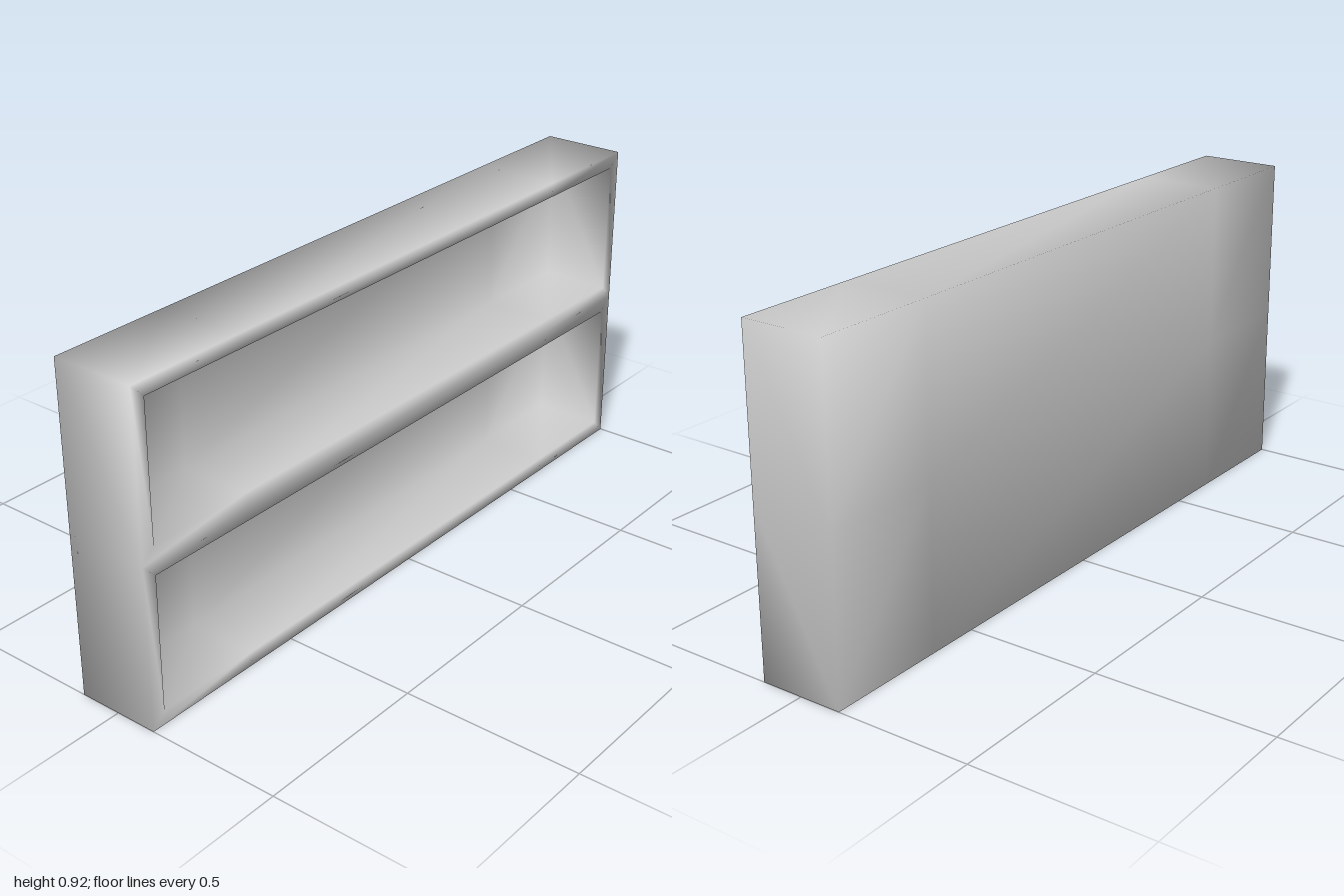
import * as THREE from 'three';
import { mergeVertices } from 'three/addons/utils/BufferGeometryUtils.js';

const HALF_W = 1, HALF_D = 0.12, BAY_H = 0.46, WALL = 0.04, LOOP_X = 0.65;

// Rectangular ring of eight points, counter-clockwise seen from the front
function ring(x, bottom, top, z) {
  const xs = [-x, -LOOP_X, LOOP_X, x];
  return [
    ...xs.map((px) => [px, bottom, z]),
    ...xs.reverse().map((px) => [px, top, z]),
  ];
}

export function createModel() {
  const positions = [];
  const quad = (a, b, c, d) => positions.push(...a, ...b, ...c, ...a, ...c, ...d);

  for (let bay = 0; bay < 2; bay++) {
    const y0 = bay * BAY_H, y1 = y0 + BAY_H;
    // Sections: back edge, front edge, opening rim, recess back
    const sections = [
      ring(HALF_W, y0, y1, -HALF_D),
      ring(HALF_W, y0, y1, HALF_D),
      ring(HALF_W - WALL, y0 + WALL, y1 - WALL, HALF_D),
      ring(HALF_W - WALL, y0 + WALL, y1 - WALL, -HALF_D + WALL),
    ];
    for (let s = 0; s < 3; s++) {
      const from = sections[s], to = sections[s + 1];
      for (let i = 0; i < 8; i++) {
        const j = (i + 1) % 8;
        // No outer skin where the two bays join
        const joined = from[i][1] === BAY_H && from[j][1] === BAY_H;
        if (s === 0 && joined) continue;
        quad(from[i], from[j], to[j], to[i]);
      }
    }
    // Recess back panel and outer back panel
    const inner = sections[3], outer = sections[0];
    for (let i = 0; i < 3; i++) {
      quad(inner[i], inner[i + 1], inner[6 - i], inner[7 - i]);
      quad(outer[i + 1], outer[i], outer[7 - i], outer[6 - i]);
    }
  }

  // Welded corners give the soft shading across the whole case
  let geometry = new THREE.BufferGeometry();
  geometry.setAttribute('position', new THREE.Float32BufferAttribute(positions, 3));
  geometry = mergeVertices(geometry);
  geometry.computeVertexNormals();

  const shelf = new THREE.Mesh(geometry, new THREE.MeshStandardMaterial({ color: 0xcccccc }));
  shelf.name = 'shelfCase';
  const group = new THREE.Group();
  group.name = 'twoBayShelf';
  group.add(shelf);
  return group;
}
